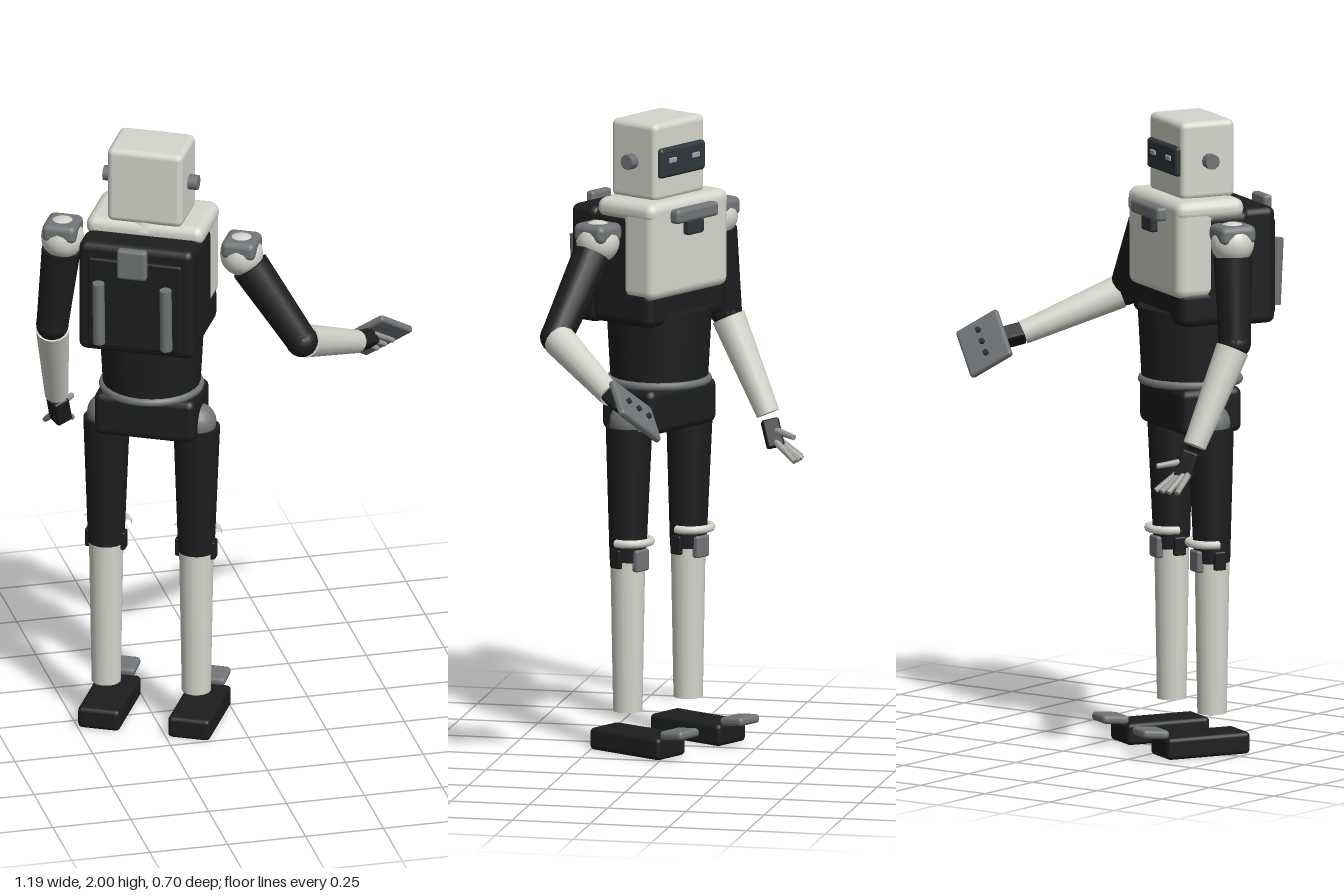
import * as THREE from 'three';
import { RoundedBoxGeometry } from 'three/addons/geometries/RoundedBoxGeometry.js';

const V = (x, y, z) => new THREE.Vector3(x, y, z);
const UP = V(0, 1, 0);

export function createModel() {
  const mat = (name, color) => {
    const m = new THREE.MeshStandardMaterial({ color });
    m.name = name;
    return m;
  };
  const white = mat('shell white', 0xd6d5cc);
  const dark = mat('suit black', 0x1c1d1e);
  const grey = mat('metal grey', 0x727577);
  const light = mat('finger grey', 0x9b9b97);
  const glass = mat('visor slate', 0x30363c);
  const eye = mat('eye grey', 0x9aa6ae);

  const root = new THREE.Group();
  root.name = 'robot';

  const add = (parent, name, geo, material, x = 0, y = 0, z = 0) => {
    const m = new THREE.Mesh(geo, material);
    m.name = name;
    m.position.set(x, y, z);
    parent.add(m);
    return m;
  };
  const box = (parent, name, w, h, d, r, material, x, y, z) =>
    add(parent, name, new RoundedBoxGeometry(w, h, d, 2, r), material, x, y, z);
  const ball = (parent, name, r, material, p) =>
    add(parent, name, new THREE.SphereGeometry(r, 18, 12), material, p.x, p.y, p.z);
  // tapered tube from a to b
  const limb = (parent, name, a, b, ra, rb, material, sides = 14) => {
    const dir = b.clone().sub(a);
    const m = add(parent, name, new THREE.CylinderGeometry(rb, ra, dir.length(), sides), material);
    m.position.copy(a).lerp(b, 0.5);
    m.quaternion.setFromUnitVectors(UP, dir.normalize());
    return m;
  };

  // Turned body: local +z is the robot's forward direction
  const body = new THREE.Group();
  body.name = 'body';
  body.position.set(-0.267, 0, 0.065);
  body.rotation.y = Math.PI - 0.488;
  root.add(body);

  // Head
  box(body, 'head', 0.243, 0.248, 0.185, 0.02, white, 0, 1.876, 0);
  box(body, 'visor', 0.215, 0.095, 0.04, 0.012, glass, 0, 1.875, 0.087);
  for (const s of [-1, 1]) {
    box(body, 'eye', 0.035, 0.016, 0.008, 0.003, eye, s * 0.055, 1.882, 0.108);
    const ear = add(body, 'earBolt', new THREE.CylinderGeometry(0.024, 0.024, 0.04, 10), grey, s * 0.132, 1.875, 0);
    ear.rotation.z = Math.PI / 2;
  }
  add(body, 'neck', new THREE.CylinderGeometry(0.08, 0.1, 0.05, 20), white, 0, 1.755, 0);

  // Torso
  box(body, 'torsoBack', 0.37, 0.36, 0.17, 0.03, dark, 0, 1.54, -0.035);
  box(body, 'torsoBase', 0.37, 0.12, 0.225, 0.03, dark, 0, 1.42, 0.012);
  box(body, 'chestShell', 0.375, 0.31, 0.13, 0.03, white, 0, 1.605, 0.072);
  box(body, 'shoulderYoke', 0.38, 0.065, 0.235, 0.03, white, 0, 1.727, 0.02);
  box(body, 'chestBar', 0.2, 0.045, 0.04, 0.012, grey, 0, 1.712, 0.148);
  box(body, 'chestSensor', 0.075, 0.05, 0.03, 0.008, glass, 0, 1.67, 0.145);
  add(body, 'waist', new THREE.CylinderGeometry(0.165, 0.152, 0.24, 28), dark, 0, 1.28, 0.005);
  const belt = add(body, 'belt', new THREE.TorusGeometry(0.152, 0.013, 8, 32), grey, 0, 1.168, 0.005);
  belt.rotation.x = Math.PI / 2;
  box(body, 'pelvis', 0.325, 0.145, 0.21, 0.025, dark, 0, 1.087, 0.005);

  // Backpack with rods and top plate
  box(body, 'backpack', 0.37, 0.37, 0.11, 0.025, dark, 0, 1.54, -0.15);
  box(body, 'backpackPanel', 0.3, 0.3, 0.02, 0.008, dark, 0, 1.53, -0.208);
  box(body, 'backpackPlate', 0.095, 0.1, 0.03, 0.01, grey, 0, 1.685, -0.242);
  for (const s of [-1, 1])
    limb(body, 'backpackRod', V(s * 0.108, 1.4, -0.235), V(s * 0.108, 1.61, -0.245), 0.019, 0.019, grey, 10);

  // Legs
  for (const s of [-1, 1]) {
    const leg = new THREE.Group();
    leg.name = 'leg';
    leg.position.x = s * 0.145;
    body.add(leg);
    ball(leg, 'hipJoint', 0.062, grey, V(0, 1.05, 0.005));
    limb(leg, 'thigh', V(0, 1.035, 0.005), V(0, 0.61, 0), 0.073, 0.057, dark, 20);
    limb(leg, 'shin', V(0, 0.64, 0), V(0, 0.13, 0), 0.055, 0.046, white, 16);
    const guard = add(leg, 'kneeGuard', new THREE.TorusGeometry(0.066, 0.013, 8, 20, Math.PI), white, 0, 0.672, 0.008);
    guard.rotation.x = Math.PI / 2;
    box(leg, 'kneePlate', 0.06, 0.07, 0.03, 0.008, grey, 0, 0.615, 0.05);
    for (const k of [-1, 1]) box(leg, 'kneeHinge', 0.02, 0.06, 0.04, 0.006, dark, k * 0.055, 0.62, 0);
    box(leg, 'foot', 0.135, 0.07, 0.285, 0.014, dark, 0, 0.037, 0.04);
    const toe = box(leg, 'toePlate', 0.095, 0.028, 0.09, 0.012, grey, 0, 0.083, 0.212);
    toe.rotation.x = -0.1;
  }

  // Arms
  const arm = (name, shoulder, elbow, wrist, hand) => {
    const g = new THREE.Group();
    g.name = name;
    root.add(g);
    ball(g, 'shoulder', 0.068, white, shoulder);
    limb(g, 'upperArm', shoulder.clone().lerp(elbow, 0.14), elbow, 0.061, 0.05, dark);
    ball(g, 'elbow', 0.051, dark, elbow);
    limb(g, 'forearm', elbow.clone().lerp(wrist, 0.06), wrist, 0.053, 0.037, white);
    const w = box(g, 'wrist', 0.055, 0.09, 0.055, 0.008, dark, hand.x, hand.y, hand.z);
    w.quaternion.setFromUnitVectors(UP, hand.clone().sub(wrist).normalize());
    const cap = box(g, 'shoulderCap', 0.11, 0.06, 0.12, 0.02, grey, shoulder.x, shoulder.y + 0.03, shoulder.z);
    cap.rotation.y = body.rotation.y;
    return g;
  };
  const raised = arm('raisedArm', V(-0.01, 1.645, 0.2), V(0.16, 1.37, 0.295), V(0.39, 1.24, 0.07), V(0.42, 1.23, 0.042));
  const lowered = arm('loweredArm', V(-0.52, 1.64, -0.065), V(-0.547, 1.33, -0.09), V(-0.498, 1.02, -0.235), V(-0.485, 0.96, -0.253));

  // Tilted slab hand with three studs in front and fingers behind
  const u = V(0.115, -0.08, -0.06).normalize();
  const n = u.clone().cross(V(-0.12, -0.12, -0.1)).normalize();
  const v = n.clone().cross(u);
  const slab = new THREE.Group();
  slab.name = 'slabHand';
  slab.position.set(0.47, 1.21, -0.025);
  slab.quaternion.setFromRotationMatrix(new THREE.Matrix4().makeBasis(u, v, n));
  raised.add(slab);
  box(slab, 'slab', 0.152, 0.197, 0.024, 0.01, grey, 0, 0, 0);
  for (const i of [-1, 0, 1]) {
    const stud = add(slab, 'stud', new THREE.CylinderGeometry(0.009, 0.009, 0.014, 10), glass, 0, i * 0.05, 0.016);
    stud.rotation.x = Math.PI / 2;
    limb(slab, 'gripFinger', V(-0.045, i * 0.032, -0.022), V(0.05, i * 0.032, -0.018), 0.01, 0.008, light, 8);
  }

  // Open hand with fanned fingers and a thumb
  for (let i = 0; i < 4; i++) {
    const t = i / 3;
    limb(lowered, 'finger', V(-0.5 + 0.035 * t, 0.94, -0.265), V(-0.508 + 0.085 * t, 0.885, -0.35 + 0.02 * Math.abs(t - 0.4)), 0.012, 0.009, light, 8);
  }
  limb(lowered, 'thumb', V(-0.475, 0.972, -0.265), V(-0.425, 0.962, -0.335), 0.012, 0.009, light, 8);

  return root;
}
